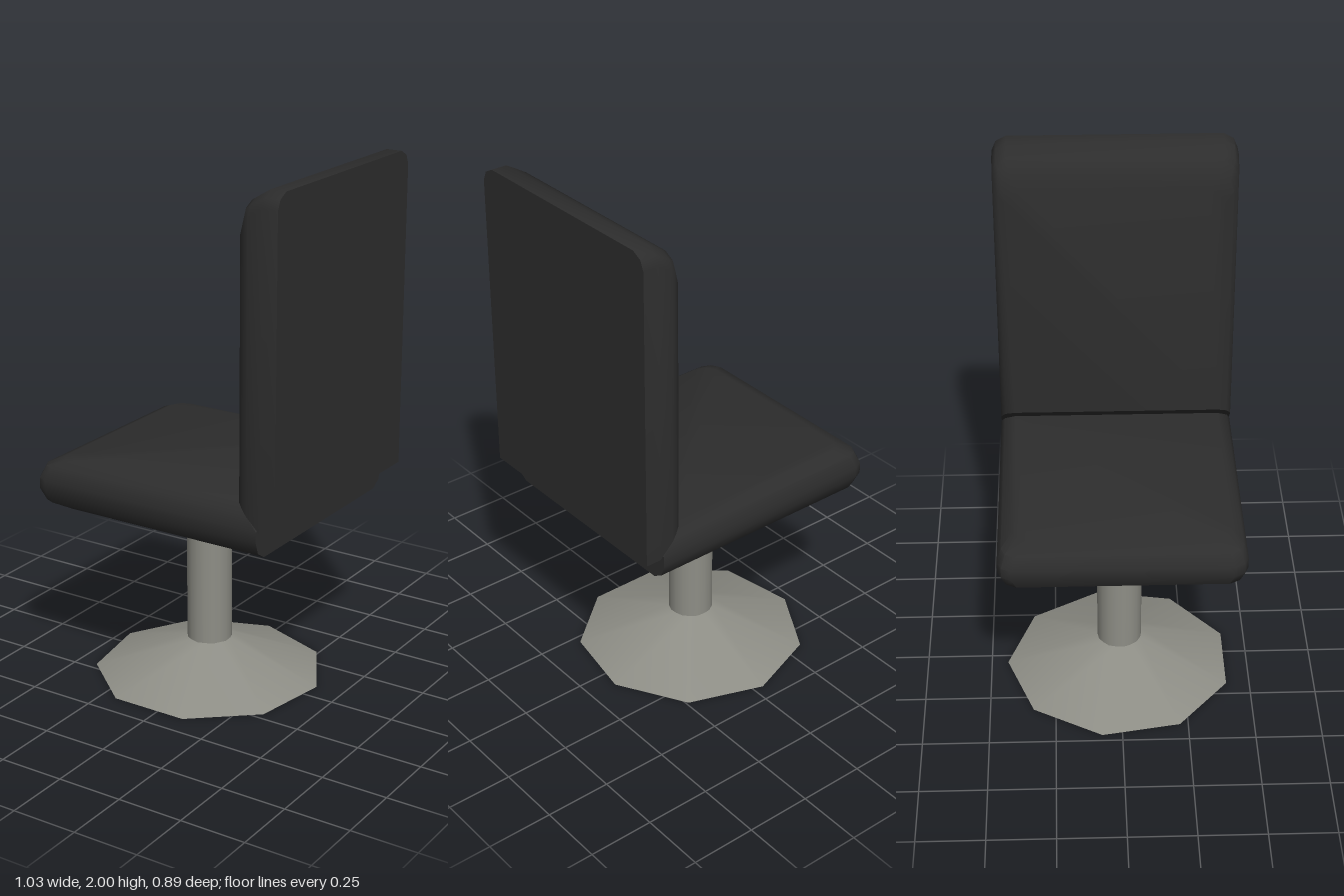
import * as THREE from 'three';
import { toCreasedNormals } from 'three/addons/utils/BufferGeometryUtils.js';

// Cushion lofted through rounded outlines.
// Each layer: [height, rear end, front end, half width]; u = length, v = height, w = width.
function cushion(layers, basis) {
  const positions = [];
  const loops = layers.map(([v, rear, front, s]) => {
    const side = [[rear, s], [front - 0.055, s], [front - 0.02, s - 0.015], [front, s - 0.052]];
    const mirrored = side.map(([u, w]) => [u, -w]).reverse();
    return [...side, ...mirrored].map(([u, w]) => new THREE.Vector3(u, v, w).applyMatrix4(basis));
  });
  const tri = (...points) => points.forEach((p) => positions.push(p.x, p.y, p.z));
  const n = loops[0].length;
  for (let k = 0; k < loops.length - 1; k++) {
    const a = loops[k], b = loops[k + 1];
    for (let i = 0; i < n; i++) {
      const j = (i + 1) % n;
      tri(a[i], a[j], b[j]);
      tri(a[i], b[j], b[i]);
    }
  }
  // flat end faces
  const first = loops[0], last = loops[loops.length - 1];
  for (let i = 1; i < n - 1; i++) {
    tri(last[0], last[i], last[i + 1]);
    tri(first[0], first[i + 1], first[i]);
  }
  const geometry = new THREE.BufferGeometry();
  geometry.setAttribute('position', new THREE.Float32BufferAttribute(positions, 3));
  return toCreasedNormals(geometry, 0.75);
}

export function createModel() {
  const group = new THREE.Group();
  const upholstery = new THREE.MeshStandardMaterial({ color: 0x2d2d2d });
  upholstery.name = 'blackUpholstery';
  const metal = new THREE.MeshStandardMaterial({ color: 0x8e8e86 });
  metal.name = 'greyMetal';

  const add = (name, geometry, material, x = 0, y = 0) => {
    const mesh = new THREE.Mesh(geometry, material);
    mesh.name = name;
    mesh.position.set(x, y, 0);
    group.add(mesh);
  };
  const X = new THREE.Vector3(1, 0, 0), Y = new THREE.Vector3(0, 1, 0), Z = new THREE.Vector3(0, 0, 1);

  // seat: length runs towards -x, rear top edge mitred
  add('seat', cushion([
    [0.71, -0.44, 0.44, 0.39],
    [0.735, -0.44, 0.50, 0.43],
    [0.78, -0.44, 0.52, 0.445],
    [0.82, -0.44, 0.52, 0.445],
    [0.867, -0.39, 0.50, 0.43],
    [0.895, -0.36, 0.44, 0.39],
  ], new THREE.Matrix4().makeBasis(X.clone().negate(), Y, Z.clone().negate())), upholstery);

  // backrest: length runs upwards, thickness towards -x, lower front edge mitred
  add('backrest', cushion([
    [-0.515, 0.815, 2.0, 0.445],
    [-0.455, 0.815, 2.0, 0.445],
    [-0.40, 0.868, 1.967, 0.444],
    [-0.38, 0.887, 1.955, 0.437],
    [-0.36, 0.906, 1.90, 0.425],
    [-0.345, 0.92, 1.86, 0.39],
  ], new THREE.Matrix4().makeBasis(Y, X.clone().negate(), Z)), upholstery);

  // pedestal
  add('column', new THREE.CylinderGeometry(0.085, 0.085, 0.6, 18), metal, -0.04, 0.42);
  add('foot', new THREE.CylinderGeometry(0.085, 0.437, 0.14, 9, 1, false, Math.PI), metal, -0.04, 0.07);

  return group;
}
